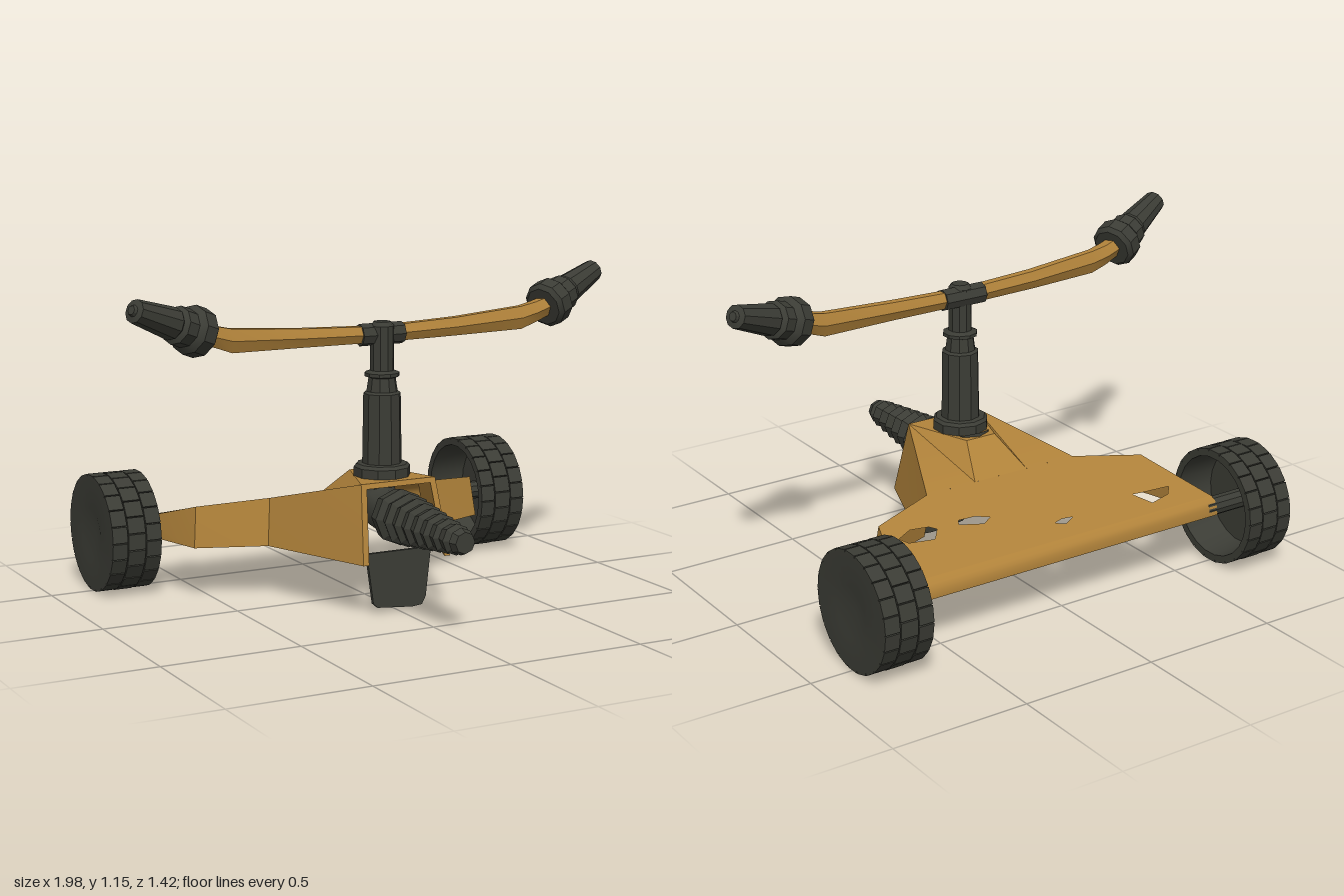
import * as THREE from 'three';
import { toCreasedNormals } from 'three/addons/utils/BufferGeometryUtils.js';

const yellow = new THREE.MeshStandardMaterial({ color: 0xb0823a, side: THREE.DoubleSide });
yellow.name = 'ochre metal';
const dark = new THREE.MeshStandardMaterial({ color: 0x3b3c35, side: THREE.DoubleSide });
dark.name = 'dark rubber';

const V = (x, y, z) => new THREE.Vector3(x, y, z);

function part(parent, name, geometry, material, crease = 0.5) {
  const mesh = new THREE.Mesh(toCreasedNormals(geometry, crease), material);
  mesh.name = name;
  parent.add(mesh);
  return mesh;
}

// Flat polygons, each a fan of points
function polygons(list) {
  const pos = [];
  for (const p of list)
    for (let i = 1; i < p.length - 1; i++) pos.push(...p[0].toArray(), ...p[i].toArray(), ...p[i + 1].toArray());
  const g = new THREE.BufferGeometry();
  g.setAttribute('position', new THREE.Float32BufferAttribute(pos, 3));
  g.computeVertexNormals();
  return g;
}

// Skin over a row of closed rings, with both ends capped
function loft(rings) {
  const faces = [[...rings[0]].reverse(), rings[rings.length - 1]];
  for (let i = 0; i < rings.length - 1; i++) {
    const a = rings[i], b = rings[i + 1], n = a.length;
    for (let j = 0; j < n; j++) faces.push([a[j], a[(j + 1) % n], b[(j + 1) % n], b[j]]);
  }
  return polygons(faces);
}

const lathe = (pts, sides) => new THREE.LatheGeometry(pts.map(p => new THREE.Vector2(...p)), sides);

const deckY = z => 0.335 + 0.28 * (z + 0.21);

function buildBody(root) {
  const body = new THREE.Group();
  body.name = 'body';
  root.add(body);

  // Sloping rear deck with ragged holes
  const half = [[0.655, -0.5], [0.56, -0.213], [0.312, -0.128]];
  const outline = [...half, ...half.map(([x, z]) => [-x, z]).reverse()];
  const to2 = pts => pts.map(([x, z]) => new THREE.Vector2(x, -z));
  const shape = new THREE.Shape(to2(outline));
  const holes = [
    [[-0.54, -0.4], [-0.51, -0.435], [-0.425, -0.455], [-0.385, -0.39], [-0.44, -0.395]],
    [[-0.105, -0.415], [-0.06, -0.438], [-0.025, -0.42], [-0.06, -0.41]],
    [[0.17, -0.31], [0.21, -0.332], [0.295, -0.305], [0.285, -0.285], [0.22, -0.288]],
    [[0.38, -0.298], [0.415, -0.34], [0.51, -0.325], [0.53, -0.295], [0.47, -0.268], [0.4, -0.278]],
  ];
  shape.holes = holes.map(h => new THREE.Path(to2(h)));
  const deck = new THREE.ShapeGeometry(shape).rotateX(-Math.PI / 2);
  const p = deck.attributes.position;
  for (let i = 0; i < p.count; i++) p.setY(i, deckY(p.getZ(i)));
  deck.computeVertexNormals();
  part(body, 'rearDeck', deck, yellow);

  // Rolled rear lip
  const roll = [[-0.5, deckY(-0.5)], [-0.522, 0.24], [-0.533, 0.222], [-0.533, 0.19]];
  const lip = [];
  for (let i = 0; i < roll.length - 1; i++) {
    const [z0, y0] = roll[i], [z1, y1] = roll[i + 1];
    lip.push([V(-0.657, y0, z0), V(0.657, y0, z0), V(0.657, y1, z1), V(-0.657, y1, z1)]);
  }
  part(body, 'rearLip', polygons(lip), yellow, 0.9);

  // Nose with a raised hump under the steering column
  const A = V(0.312, 0.358, -0.128), B = V(0.145, 0.46, 0.25), C = V(0.06, 0.46, 0), E = V(0.11, 0.358, -0.128);
  const m = v => V(-v.x, v.y, v.z);
  part(body, 'nose', polygons([
    [A, E, B], [B, E, C], [m(A), m(B), m(E)], [m(B), m(C), m(E)],
    [C, E, m(E), m(C)], [B, C, m(C), m(B)],
    [B, m(B), V(-0.145, 0.442, 0.255), V(0.145, 0.442, 0.255)],
  ]), yellow, 0.3);

  // Flared side walls: top x, y, z and bottom x, z of each station
  const stations = [
    [0.145, 0.46, 0.25, 0.17, 0.315],
    [0.312, 0.358, -0.128, 0.33, -0.105],
    [0.56, 0.335, -0.213, 0.575, -0.195],
    [0.655, 0.25, -0.5, 0.66, -0.5],
    [0.657, 0.222, -0.533, 0.66, -0.533],
  ];
  for (const s of [1, -1]) {
    const rings = stations.map(([x, y, z, bx, bz]) => {
      const r = [V(s * x, y, z), V(s * bx, 0.19, bz), V(s * (bx - 0.022), 0.19, bz), V(s * (x - 0.022), y - 0.003, z)];
      return s > 0 ? r : r.reverse();
    });
    part(body, s > 0 ? 'leftWall' : 'rightWall', loft(rings), yellow, 0.3);
  }
}

function buildWheel(root, s) {
  const wheel = new THREE.Group();
  wheel.name = s > 0 ? 'leftWheel' : 'rightWheel';
  wheel.position.set(s * 0.752, 0.212, -0.5);
  if (s < 0) wheel.rotation.y = Math.PI;
  root.add(wheel);

  // Cup open towards the body, with a shallow dent outside
  const cup = lathe([[0, 0.045], [0.172, 0.045], [0.185, -0.092], [0.205, -0.092],
    [0.205, 0.092], [0.09, 0.092], [0, 0.072]], 22).rotateZ(-Math.PI / 2);
  part(wheel, 'rim', cup, dark);
  const axle = new THREE.CylinderGeometry(0.035, 0.035, 0.18, 10).rotateZ(Math.PI / 2);
  part(wheel, 'axle', axle, dark).position.x = -0.04;

  // Three staggered rows of tread blocks
  const count = 22, len = 2 * 0.212 * Math.tan(Math.PI / count) - 0.005;
  const rows = [[-0.064, 0.056], [0, 0.064], [0.064, 0.056]];
  rows.forEach(([x, width], row) => {
    const block = toCreasedNormals(new THREE.BoxGeometry(width, 0.012, len), 0.5);
    for (let i = 0; i < count; i++) {
      const a = (i + (row % 2) / 2) / count * Math.PI * 2;
      const tread = new THREE.Mesh(block, dark);
      tread.name = 'treadBlock';
      tread.position.set(x, Math.cos(a) * 0.205, Math.sin(a) * 0.205);
      tread.rotation.x = a;
      wheel.add(tread);
    }
  });
}

function buildHandlebar(root, s) {
  const side = new THREE.Group();
  side.name = s > 0 ? 'leftHandlebar' : 'rightHandlebar';
  side.position.z = 0.118;
  if (s < 0) side.rotation.y = Math.PI;
  root.add(side);

  // Bar: x, centre y, centre z, half height, half depth
  const rings = [[0, 0.955, 0, 0.032, 0.03], [0.3, 0.962, -0.008, 0.037, 0.03], [0.58, 0.973, -0.026, 0.047, 0.026],
    [0.64, 0.99, -0.028, 0.042, 0.035], [0.72, 1.012, -0.045, 0.038, 0.038]].map(([x, y, z, h, d]) =>
    Array.from({ length: 6 }, (_, i) => {
      const a = i / 6 * Math.PI * 2;
      return V(x, y + h * Math.sin(a), z - d * Math.cos(a));
    }));
  part(side, 'bar', loft(rings), yellow, 0.3);

  // Collar and tapered grip
  const grip = part(side, 'grip', lathe([[0, 0], [0.07, 0], [0.085, 0.015], [0.085, 0.065], [0.066, 0.085],
    [0.066, 0.13], [0.048, 0.14], [0.056, 0.15], [0.04, 0.325], [0.02, 0.33], [0.015, 0.34], [0, 0.34]], 10), dark);
  const base = V(0.685, 1.003, -0.035), tip = V(0.985, 1.115, -0.153);
  grip.position.copy(base);
  grip.quaternion.setFromUnitVectors(V(0, 1, 0), tip.sub(base).normalize());
}

export function createModel() {
  const root = new THREE.Group();
  root.name = 'pushCart';
  buildBody(root);
  for (const s of [1, -1]) {
    buildWheel(root, s);
    buildHandlebar(root, s);
  }

  // Steering column
  const column = lathe([[0, 0.44], [0.1, 0.455], [0.1, 0.492], [0.09, 0.503], [0.07, 0.505], [0.066, 0.75],
    [0.055, 0.757], [0.048, 0.805], [0.062, 0.81], [0.062, 0.822], [0.042, 0.83], [0.042, 0.985], [0.03, 1.0], [0, 1.0]], 10);
  part(root, 'steeringColumn', column, dark).position.z = 0.13;
  const clamp = new THREE.CylinderGeometry(0.039, 0.039, 0.165, 8).rotateZ(Math.PI / 2);
  part(root, 'clamp', clamp, dark).position.set(0, 0.955, 0.118);

  // Elbow joining the column to the front spike, under the nose
  const elbow = new THREE.QuadraticBezierCurve3(V(0, 0.45, 0.08), V(0, 0.325, 0.04), V(0, 0.335, 0.25));
  part(root, 'elbow', new THREE.TubeGeometry(elbow, 8, 0.075, 8), dark, 0.9);

  // Ribbed spike: saw-tooth rings narrowing to the tip
  const profile = [[0, 0.22], [0.09, 0.22], [0.1, 0.27]];
  for (let i = 0; i < 7; i++) {
    const z = 0.285 + i * 0.054, r = 0.095 - i * 0.0068;
    profile.push([r * 0.82, z], [r, z + 0.042]);
  }
  profile.push([0.032, 0.668], [0.047, 0.68], [0.037, 0.708], [0, 0.708]);
  part(root, 'frontSpike', lathe(profile, 8).rotateX(Math.PI / 2), dark, 0.3).position.y = 0.335;

  // Hanging front flap with its bracket
  const flap = new THREE.Shape([[-0.128, 0.215], [-0.102, 0.035], [-0.085, 0.02], [0.05, 0.008], [0.09, 0.012],
    [0.105, 0.04], [0.125, 0.215]].map(p => new THREE.Vector2(...p)));
  part(root, 'flap', new THREE.ExtrudeGeometry(flap, { depth: 0.014, bevelEnabled: false }), dark).position.z = 0.246;
  part(root, 'flapBracket', new THREE.BoxGeometry(0.22, 0.02, 0.035), dark).position.set(0, 0.18, 0.238);
  return root;
}
